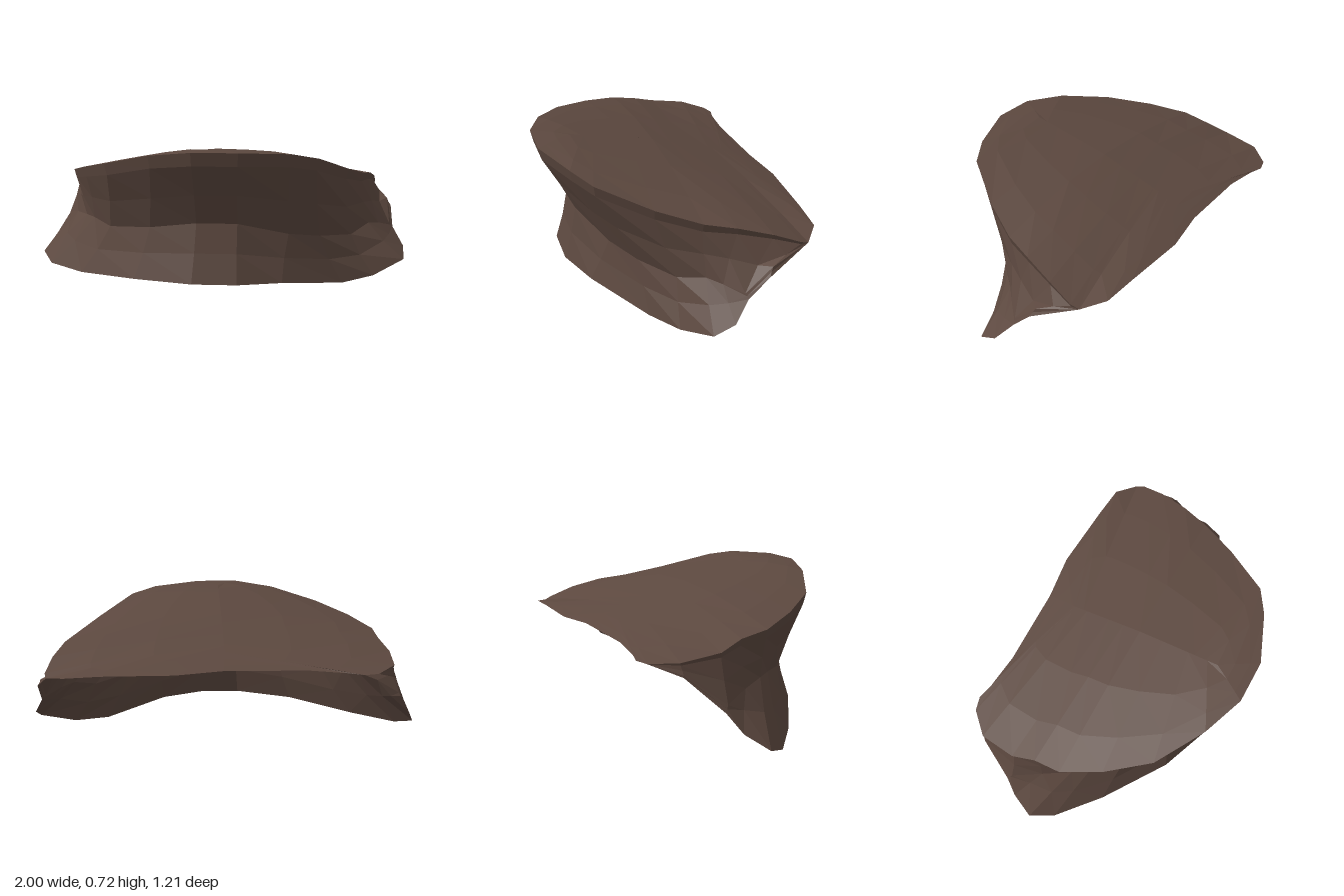
import * as THREE from 'three';

// Rows below run from the back right corner, round the front, to the back left corner.
const points = (...list) => list.map((p) => new THREE.Vector3(...p));

// Overhanging edge of the top
const rim = points(
  [-0.7, 0.44, -0.58], [-0.8, 0.455, -0.47], [-0.82, 0.48, -0.28], [-0.79, 0.52, -0.16],
  [-0.785, 0.545, -0.02], [-0.69, 0.585, 0.17], [-0.54, 0.63, 0.37], [-0.3, 0.69, 0.52],
  [-0.09, 0.715, 0.6], [0.13, 0.715, 0.6], [0.38, 0.7, 0.5], [0.51, 0.67, 0.42],
  [0.67, 0.59, 0.18], [0.77, 0.54, -0.02], [0.82, 0.52, -0.17], [0.86, 0.48, -0.33],
  [0.88, 0.43, -0.46], [0.87, 0.415, -0.5]);

// Pinched line under the overhang, meeting the bottom edge at both sides
const waist = points(
  [-0.7, 0.44, -0.58], [-0.81, 0.4, -0.46], [-0.88, 0.26, -0.28], [-0.8, 0.29, -0.14],
  [-0.72, 0.3, -0.01], [-0.66, 0.3, 0.07], [-0.55, 0.28, 0.2], [-0.32, 0.31, 0.35],
  [-0.08, 0.35, 0.43], [0.12, 0.35, 0.43], [0.37, 0.28, 0.32], [0.53, 0.25, 0.22],
  [0.7, 0.23, 0.08], [0.8, 0.27, -0.03], [0.86, 0.26, -0.09], [0.93, 0.24, -0.17],
  [0.93, 0.36, -0.3], [0.87, 0.415, -0.5]);

// Flared bottom edge, rising to the back corners
const hem = points(
  [-0.7, 0.44, -0.58], [-0.81, 0.39, -0.46], [-0.9, 0.23, -0.3], [-0.95, 0.14, -0.24],
  [-1, 0.06, -0.13], [-0.93, 0.02, -0.02], [-0.72, 0.02, 0.16], [-0.4, 0.05, 0.38],
  [-0.1, 0.06, 0.495], [0.12, 0.06, 0.495], [0.34, 0.052, 0.41], [0.65, 0, 0.2],
  [0.82, 0.015, 0.1], [0.99, 0.08, 0], [1, 0.13, -0.1], [0.95, 0.22, -0.18],
  [0.95, 0.32, -0.28], [0.87, 0.415, -0.5]);

// Back edge of the top, from left to right
const backEdge = points(
  [0.77, 0.435, -0.58], [0.6, 0.445, -0.59], [0.26, 0.45, -0.605], [0.03, 0.46, -0.57],
  [-0.37, 0.455, -0.56], [-0.55, 0.445, -0.58], [-0.63, 0.44, -0.6]);

// Faceted skin across rows of equal length
function skin(rows) {
  const corners = [];
  for (let r = 0; r < rows.length - 1; r++) {
    for (let i = 0; i < rows[r].length - 1; i++) {
      const a = rows[r][i], b = rows[r + 1][i], c = rows[r + 1][i + 1], d = rows[r][i + 1];
      for (const t of [[a, b, c], [a, c, d]]) {
        const area = new THREE.Triangle(...t).getArea();
        if (area > 1e-7) corners.push(...t);
      }
    }
  }
  const geometry = new THREE.BufferGeometry().setFromPoints(corners);
  geometry.computeVertexNormals();
  return geometry;
}

// Height of the gentle ridge along the middle of the top
const ridge = (z) => (z > 0 ? Math.min(0.72, 0.635 + 0.19 * z) : 0.635 + 0.3 * z);

// Row halfway between two others, drawn slightly inwards
const between = (a, b, pull) => a.map((p, i) => {
  const inward = 1 - pull * Math.min(1, 4 * p.distanceTo(b[i]));
  return p.clone().lerp(b[i], 0.5).multiply(new THREE.Vector3(inward, 1, inward));
});

export function createModel() {
  const group = new THREE.Group();
  group.name = 'foldedShell';

  const brown = new THREE.MeshStandardMaterial({ color: 0x5c483f, side: THREE.DoubleSide });
  brown.name = 'dark brown';

  const add = (name, rows) => {
    const mesh = new THREE.Mesh(skin(rows), brown);
    mesh.name = name;
    group.add(mesh);
  };

  // Sloping top: rows grow from the middle ridge to the outline
  const outline = [...rim, ...backEdge, rim[0]];
  const topRows = [0, 0.4, 0.75, 1].map((s) => outline.map((p) => {
    const q = new THREE.Vector3(0.02, 0, p.z * 0.7).lerp(p, s);
    q.y = ridge(q.z) + (p.y - ridge(p.z)) * s * s;
    return q;
  }));
  add('slopingTop', topRows);

  // Turned-down lip, deepest round the front and gone at the corners
  const lip = rim.map((p, i) => {
    const depth = Math.sin((Math.PI * i) / (rim.length - 1));
    const inward = 1 - 0.025 * depth;
    return new THREE.Vector3(p.x * inward, p.y - 0.065 * depth, p.z * inward);
  });
  add('lip', [rim, lip]);

  // Undercut wall below the lip, and the flared skirt under it
  add('undercutWall', [lip, between(lip, waist, 0.01), waist]);
  add('flaredSkirt', [waist, between(waist, hem, 0.015), hem]);

  return group;
}
